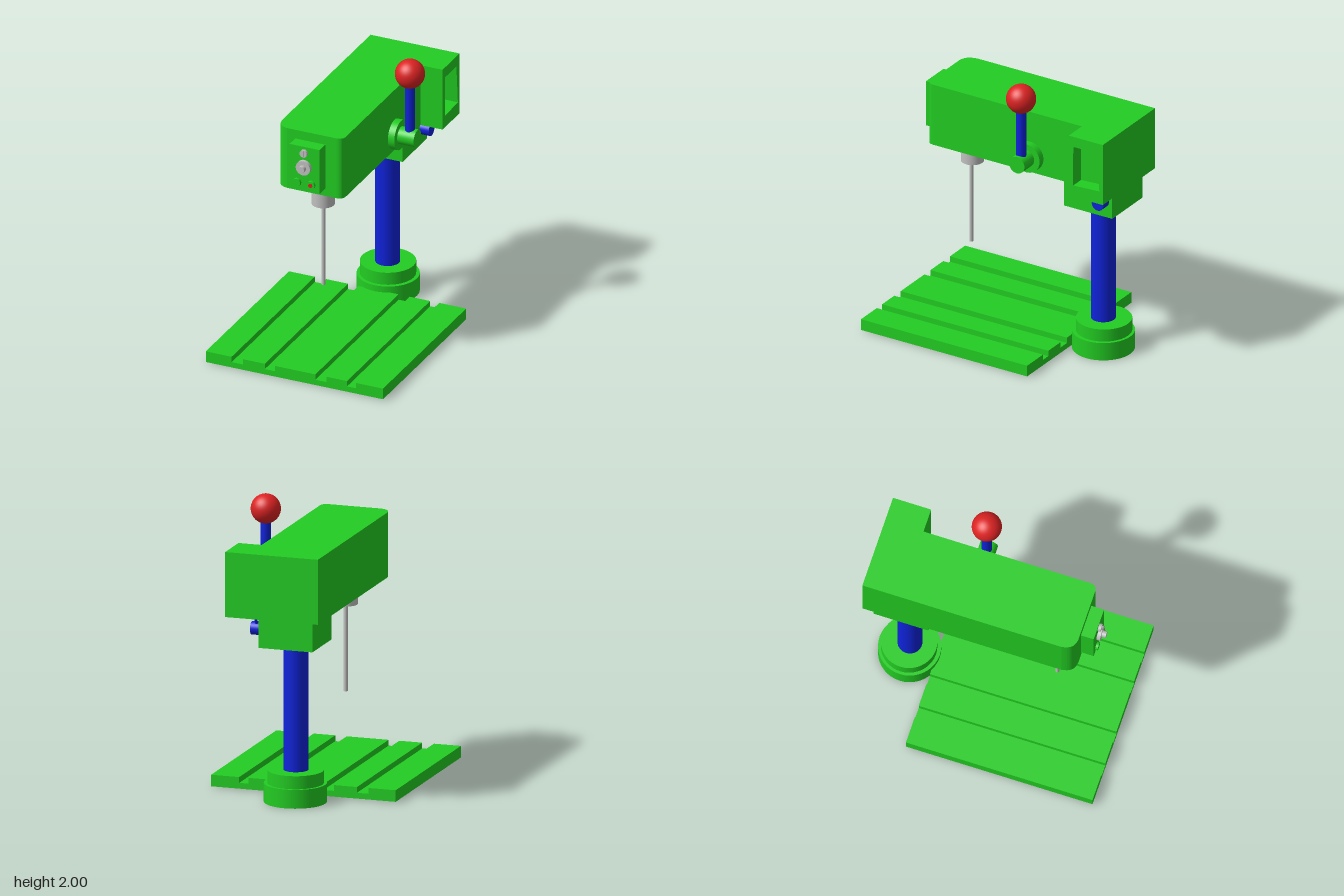
import * as THREE from 'three';

const mat = (name, color) => {
  const m = new THREE.MeshStandardMaterial({ color });
  m.name = name;
  return m;
};

export function createModel() {
  const green = mat('green paint', 0x22cc22);
  const blue = mat('blue paint', 0x0f22d8);
  const red = mat('red plastic', 0xdc2222);
  const steel = mat('steel', 0xc0c0c0);

  const root = new THREE.Group();
  root.name = 'drillPress';

  const add = (name, geo, material, parent = root) => {
    const mesh = new THREE.Mesh(geo, material);
    mesh.name = name;
    parent.add(mesh);
    return mesh;
  };
  // Box given by its limits
  const box = (name, m, x0, x1, y0, y1, z0, z1) =>
    add(name, new THREE.BoxGeometry(x1 - x0, y1 - y0, z1 - z0), m)
      .position.set((x0 + x1) / 2, (y0 + y1) / 2, (z0 + z1) / 2);
  // Cylinders along each axis, from a to b
  const cylY = (name, m, r, x, z, a, b) =>
    add(name, new THREE.CylinderGeometry(r, r, b - a, 40), m).position.set(x, (a + b) / 2, z);
  const cylX = (name, m, r, y, z, a, b) =>
    add(name, new THREE.CylinderGeometry(r, r, b - a, 40).rotateZ(Math.PI / 2), m).position.set((a + b) / 2, y, z);
  const cylZ = (name, m, r, x, y, a, b) =>
    add(name, new THREE.CylinderGeometry(r, r, b - a, 32).rotateX(Math.PI / 2), m).position.set(x, y, (a + b) / 2);
  const extrude = (shape, depth) =>
    new THREE.ExtrudeGeometry(shape, { depth, bevelEnabled: false, curveSegments: 8 });

  // Slotted work table: cross-section run along z
  const table = new THREE.Shape();
  table.moveTo(-0.66, 0.005);
  table.lineTo(0.655, 0.005);
  table.lineTo(0.655, 0.085);
  for (const [a, b] of [[0.455, 0.388], [0.235, 0.153], [-0.145, -0.222], [-0.384, -0.468]]) {
    table.lineTo(a, 0.085);
    table.lineTo(a, 0.045);
    table.lineTo(b, 0.045);
    table.lineTo(b, 0.085);
  }
  table.lineTo(-0.66, 0.085);
  table.closePath();
  add('table', extrude(table, 1.32).translate(0, 0, -0.44), green);

  // Foot and column
  cylY('footLower', green, 0.213, -0.011, -0.627, 0, 0.13);
  cylY('footUpper', green, 0.19, -0.014, -0.63, 0.13, 0.22);
  cylY('column', blue, 0.084, -0.014, -0.624, 0.22, 1.09);
  box('columnClamp', green, -0.2, 0.185, 1.09, 1.3, -0.82, -0.435);

  // Head: plan outline with rounded front corners, raised in y
  const plan = new THREE.Shape();
  plan.moveTo(-0.26, 0.88);
  plan.lineTo(-0.26, -0.53);
  plan.bezierCurveTo(-0.25, -0.585, -0.235, -0.61, -0.18, -0.62);
  plan.lineTo(0.19, -0.62);
  plan.quadraticCurveTo(0.235, -0.615, 0.235, -0.57);
  plan.lineTo(0.235, 0.88);
  plan.closePath();
  add('head', extrude(plan, 0.45).rotateX(-Math.PI / 2).translate(0, 1.3, 0), green);

  // Motor housing with a recess in its side
  box('motorHousingInner', green, 0.235, 0.3, 1.3, 1.75, -0.88, -0.61);
  const frame = new THREE.Shape([[0.61, 1.3], [0.88, 1.3], [0.88, 1.75], [0.61, 1.75]]
    .map(([z, y]) => new THREE.Vector2(z, y)));
  frame.holes.push(new THREE.Path([[0.645, 1.385], [0.645, 1.62], [0.65, 1.675], [0.83, 1.675], [0.853, 1.395]]
    .map(([z, y]) => new THREE.Vector2(z, y))));
  add('motorHousingFrame', extrude(frame, 0.1).rotateY(Math.PI / 2).translate(0.3, 0, 0), green);

  // Control panel with knobs and buttons
  box('controlPanel', green, -0.118, 0.105, 1.355, 1.685, 0.62, 0.71);
  cylZ('speedDial', steel, 0.053, -0.008, 1.535, 0.71, 0.735);
  cylZ('speedDialKnob', steel, 0.023, -0.008, 1.535, 0.735, 0.765);
  cylZ('keySwitch', steel, 0.027, -0.008, 1.64, 0.71, 0.73);
  box('keySwitchBar', steel, -0.013, -0.003, 1.616, 1.664, 0.73, 0.736);
  for (const x of [-0.06, 0.045]) cylZ('button', green, 0.029, x, 1.413, 0.71, 0.728);
  cylZ('stopLight', red, 0.014, 0.045, 1.413, 0.728, 0.734);

  // Feed lever
  cylX('feedFlange', green, 0.105, 1.422, -0.2, 0.235, 0.283);
  cylX('feedHub', green, 0.061, 1.422, -0.2, 0.283, 0.405);
  cylY('feedLever', blue, 0.035, 0.35, -0.2, 1.465, 1.84);
  add('feedBall', new THREE.SphereGeometry(0.102, 40, 24), red).position.set(0.35, 1.898, -0.2);

  // Spindle, chuck and bit
  cylY('spindleCollar', green, 0.112, -0.012, 0.415, 1.255, 1.3);
  cylY('chuck', steel, 0.078, -0.008, 0.411, 1.125, 1.255);
  cylY('drillBit', steel, 0.014, -0.003, 0.417, 0.52, 1.125);

  // Clamp knob with a slanted pin
  cylX('clampKnob', blue, 0.046, 1.208, -0.747, 0.185, 0.255);
  const pin = add('clampPin', new THREE.CylinderGeometry(0.01, 0.01, 0.085, 16), blue);
  pin.position.set(0.215, 1.245, -0.768);
  pin.rotation.x = -0.5;

  return root;
}
